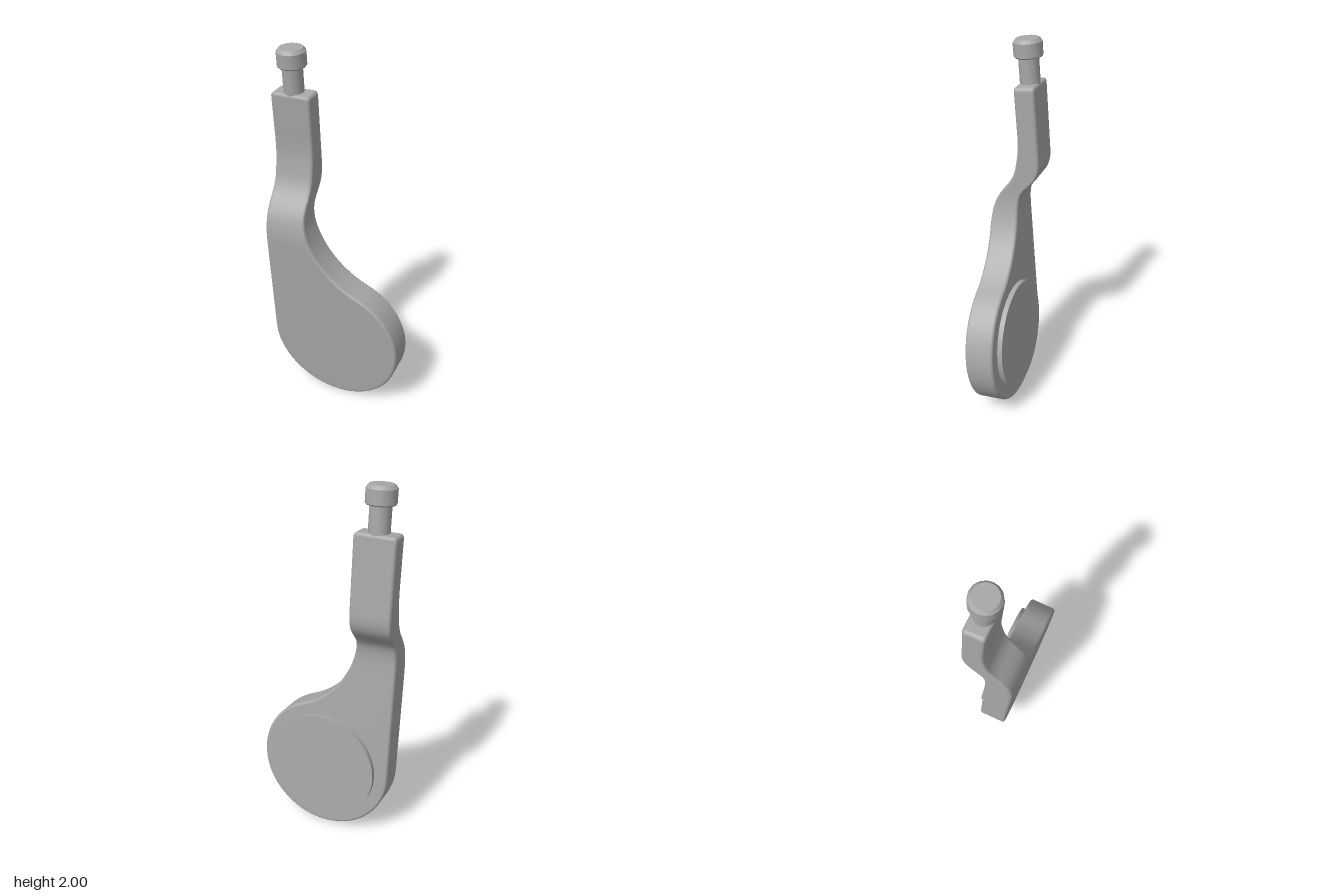
import * as THREE from 'three';
import { toCreasedNormals } from 'three/addons/utils/BufferGeometryUtils.js';

const R = 0.378, CY = 0.384;         // round pad
const ARC = 0.51, AX = 0.35, AY = 1.2; // concave shoulder arc
const LEFT = -R, RIGHT = -0.16, TOP = 1.762;
const FILLET = 0.015, CORNER = 0.02;

// Surface depth as a function of height, constant beyond the ends
function depthRule(points) {
  const pts = new THREE.SplineCurve(points.map(([y, z]) => new THREE.Vector2(y, z))).getPoints(100);
  return (y) => {
    if (y <= pts[0].x) return pts[0].y;
    for (let i = 1; i < pts.length; i++) {
      const a = pts[i - 1], b = pts[i];
      if (y <= b.x) return a.y + (b.y - a.y) * (y - a.x) / (b.x - a.x);
    }
    return pts[pts.length - 1].y;
  };
}
const frontZ = depthRule([[0.96, 0.046], [1.02, 0.044], [1.08, 0.034], [1.14, 0.012], [1.19, -0.023],
  [1.24, -0.068], [1.29, -0.098], [1.34, -0.114], [1.42, -0.13], [1.49, -0.135], [1.56, -0.135]]);
const backZ = depthRule([[1.04, -0.111], [1.09, -0.113], [1.14, -0.121], [1.18, -0.138], [1.21, -0.167],
  [1.24, -0.198], [1.27, -0.223], [1.31, -0.239], [1.35, -0.245], [1.4, -0.245]]);

// Silhouette as rows of [left x, right x, y]
function outlineRows() {
  const rows = [];
  const tangent = Math.atan2(AY - CY, AX); // direction from pad centre to arc centre
  const aEnd = Math.PI / 2 + tangent;
  for (let i = 0; i <= 48; i++) {
    const a = 0.035 + (aEnd - 0.035) * i / 48;
    const x = R * Math.sin(a);
    rows.push([a < Math.PI / 2 ? -x : LEFT, x, CY - R * Math.cos(a)]);
  }
  for (let i = 1; i <= 24; i++) {
    const b = tangent * (1 - i / 24);
    rows.push([LEFT, AX - ARC * Math.cos(b), AY - ARC * Math.sin(b)]);
  }
  for (let y = AY + 0.02; y < TOP - CORNER - 0.01; y += 0.02) rows.push([LEFT, RIGHT, y]);
  for (let i = 0; i <= 4; i++) {
    const c = i / 4 * Math.PI / 2, d = CORNER * (1 - Math.cos(c));
    rows.push([LEFT + d, RIGHT - d, TOP - CORNER * (1 - Math.sin(c))]);
  }
  return rows;
}

function handleGeometry() {
  const rows = outlineRows(), m = rows.length, n = 2 * m;
  const loop = [...rows.map(([, r, y]) => new THREE.Vector2(r, y)),
    ...rows.map(([l, , y]) => new THREE.Vector2(l, y)).reverse()];

  // Inward mitre direction at each outline point
  const inward = loop.map((p, i) => {
    const normal = (a, b) => new THREE.Vector2(a.y - b.y, b.x - a.x).normalize();
    const n1 = normal(loop[(i + n - 1) % n], p), n2 = normal(p, loop[(i + 1) % n]);
    return n1.clone().add(n2).divideScalar(1 + n1.dot(n2));
  });

  // Rings from the front face, round the fillets, to the back face
  const rings = [];
  for (let k = 0; k <= 4; k++) {
    const a = k / 4 * Math.PI / 2;
    rings.push([FILLET * (1 - Math.sin(a)), FILLET * (1 - Math.cos(a))]);
  }
  const pos = [], idx = [];
  const addRing = (inset, depth, isFront) => loop.forEach((p, i) => {
    const q = p.clone().addScaledVector(inward[i], inset);
    pos.push(q.x, q.y, isFront ? frontZ(q.y) - depth : backZ(q.y) + depth);
  });
  rings.forEach(([s, d]) => addRing(s, d, true));
  [...rings].reverse().forEach(([s, d]) => addRing(s, d, false));

  const quad = (a, b, c, d) => idx.push(a, b, c, a, c, d);
  const last = 2 * rings.length - 1;
  for (let j = 0; j < last; j++) {
    for (let i = 0; i < n; i++) {
      const i2 = (i + 1) % n;
      quad(j * n + i, (j + 1) * n + i, (j + 1) * n + i2, j * n + i2);
    }
  }
  // Front and back faces as strips between left and right
  for (let k = 0; k < m - 1; k++) {
    const l = n - 1 - k, o = last * n;
    quad(l, k, k + 1, l - 1);
    quad(o + k, o + l, o + l - 1, o + k + 1);
  }
  const g = new THREE.BufferGeometry();
  g.setAttribute('position', new THREE.Float32BufferAttribute(pos, 3));
  g.setIndex(idx);
  g.computeVertexNormals();
  return g;
}

export function createModel() {
  const grey = new THREE.MeshStandardMaterial({ color: 0xa8a8a8 });
  grey.name = 'plain grey';

  const model = new THREE.Group();
  model.name = 'lever';
  const body = new THREE.Group();
  body.name = 'tiltedBody';
  body.rotation.x = 0.087;
  model.add(body);

  const add = (name, geometry, x, y, z) => {
    const mesh = new THREE.Mesh(geometry, grey);
    mesh.name = name;
    mesh.position.set(x, y, z);
    body.add(mesh);
    return mesh;
  };

  // Paddle and cranked arm in one piece
  add('paddleArm', handleGeometry(), 0, 0, 0);

  // Raised disc on the back of the paddle
  const disc = add('backDisc', toCreasedNormals(new THREE.CylinderGeometry(0.305, 0.305, 0.04, 64), 0.6), 0, CY + 0.002, -0.118);
  disc.rotation.x = Math.PI / 2;

  // Neck and chamfered knob on top
  const profile = [[0, 1.74], [0.053, 1.74], [0.053, 1.893], [0.07, 1.893], [0.075, 1.899],
    [0.075, 1.968], [0.061, 1.986], [0, 1.986]].map(([r, y]) => new THREE.Vector2(r, y));
  add('topPin', toCreasedNormals(new THREE.LatheGeometry(profile, 16), 0.6), -0.27, 0, -0.19);

  return model;
}
